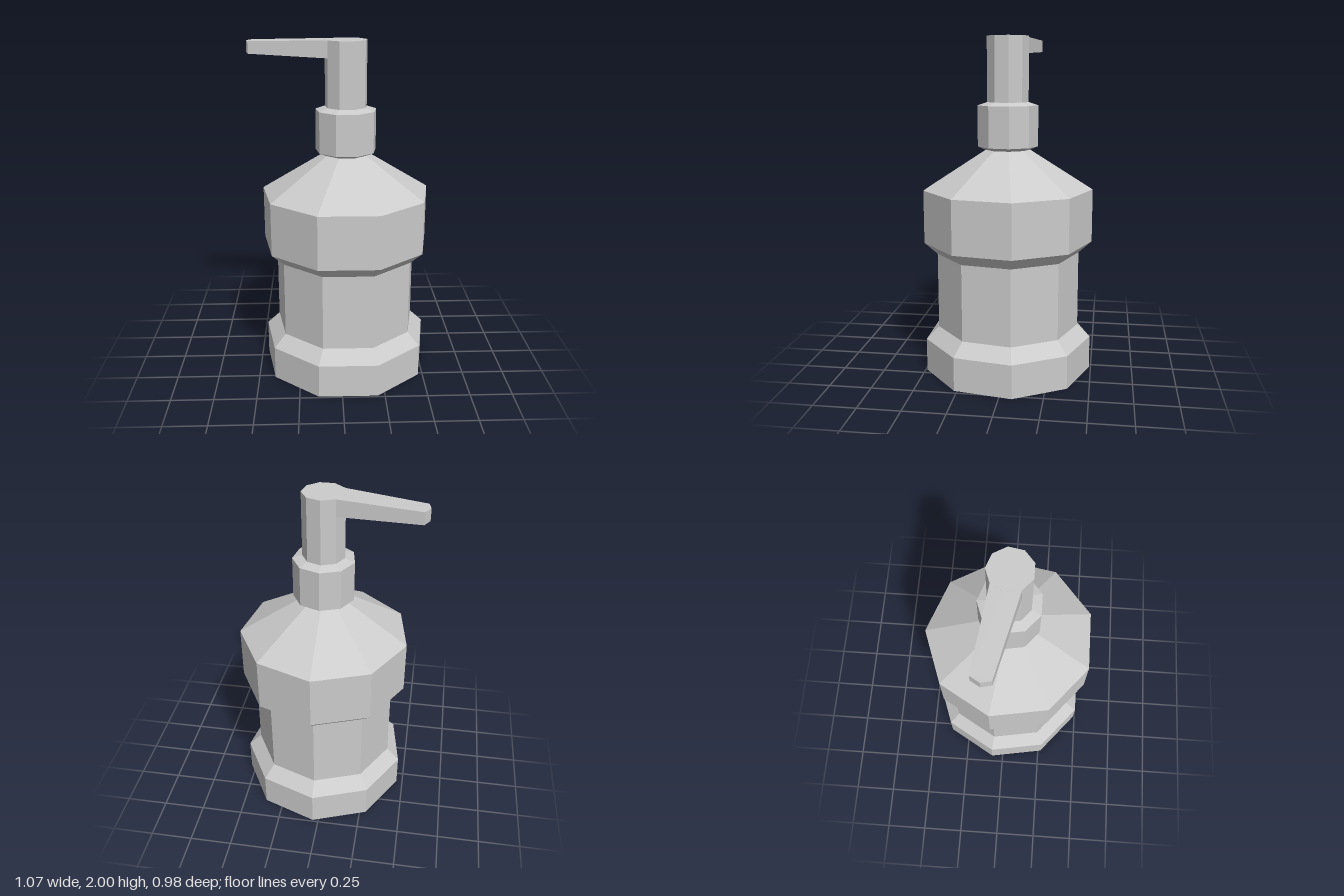
import * as THREE from 'three';

const SIDES = 9;
const CX = 0.035, CZ = 0.015; // axis of the bottle
const STEM_R = 0.123;

export function createModel() {
  const group = new THREE.Group();
  const material = new THREE.MeshStandardMaterial({ color: 0xcccccc, flatShading: true });

  const add = (name, geometry) => {
    const mesh = new THREE.Mesh(geometry, material);
    mesh.name = name;
    group.add(mesh);
    return mesh;
  };

  // Nine-sided turned part with a corner pointing straight back
  const turned = (name, profile) => {
    const points = profile.map(([r, y]) => new THREE.Vector2(r, y));
    add(name, new THREE.LatheGeometry(points, SIDES, Math.PI)).position.set(CX, 0, CZ);
  };

  // Bottle: foot, narrow waist, wide band and sloping shoulder
  turned('bottle', [
    [0, 0], [0.505, 0], [0.505, 0.2], [0.428, 0.275], [0.428, 0.73],
    [0.505, 0.8], [0.505, 1.115], [0.133, 1.345],
  ]);

  // Screw collar with chamfered rims
  turned('collar', [[0.133, 1.345], [0.18, 1.365], [0.18, 1.605], [STEM_R, 1.623]]);

  // Pump stem
  turned('pumpStem', [[STEM_R, 1.623], [STEM_R, 2], [0, 2]]);

  // Spout: grows out of two neighbouring stem faces and tapers to a blunt tip
  const corner = (k) => {
    const a = (k * 2 * Math.PI) / SIDES;
    return [CX + STEM_R * Math.sin(a), CZ - STEM_R * Math.cos(a)];
  };
  const outline = [
    corner(-1), corner(-2), corner(-3),
    [-0.522, -0.03], [-0.535, -0.085], [-0.505, -0.138],
  ];
  const shape = new THREE.Shape(outline.map(([x, z]) => new THREE.Vector2(x, -z)));
  const spout = new THREE.ExtrudeGeometry(shape, { depth: 1, bevelEnabled: false });
  spout.rotateX(-Math.PI / 2);
  const pos = spout.attributes.position;
  for (let i = 0; i < pos.count; i++) {
    const t = THREE.MathUtils.clamp((-0.06 - pos.getX(i)) / 0.47, 0, 1);
    const top = 2 - 0.012 * t, bottom = 1.902 + 0.016 * t;
    pos.setY(i, pos.getY(i) > 0.5 ? top : bottom);
  }
  spout.computeVertexNormals();
  add('spout', spout);

  return group;
}
